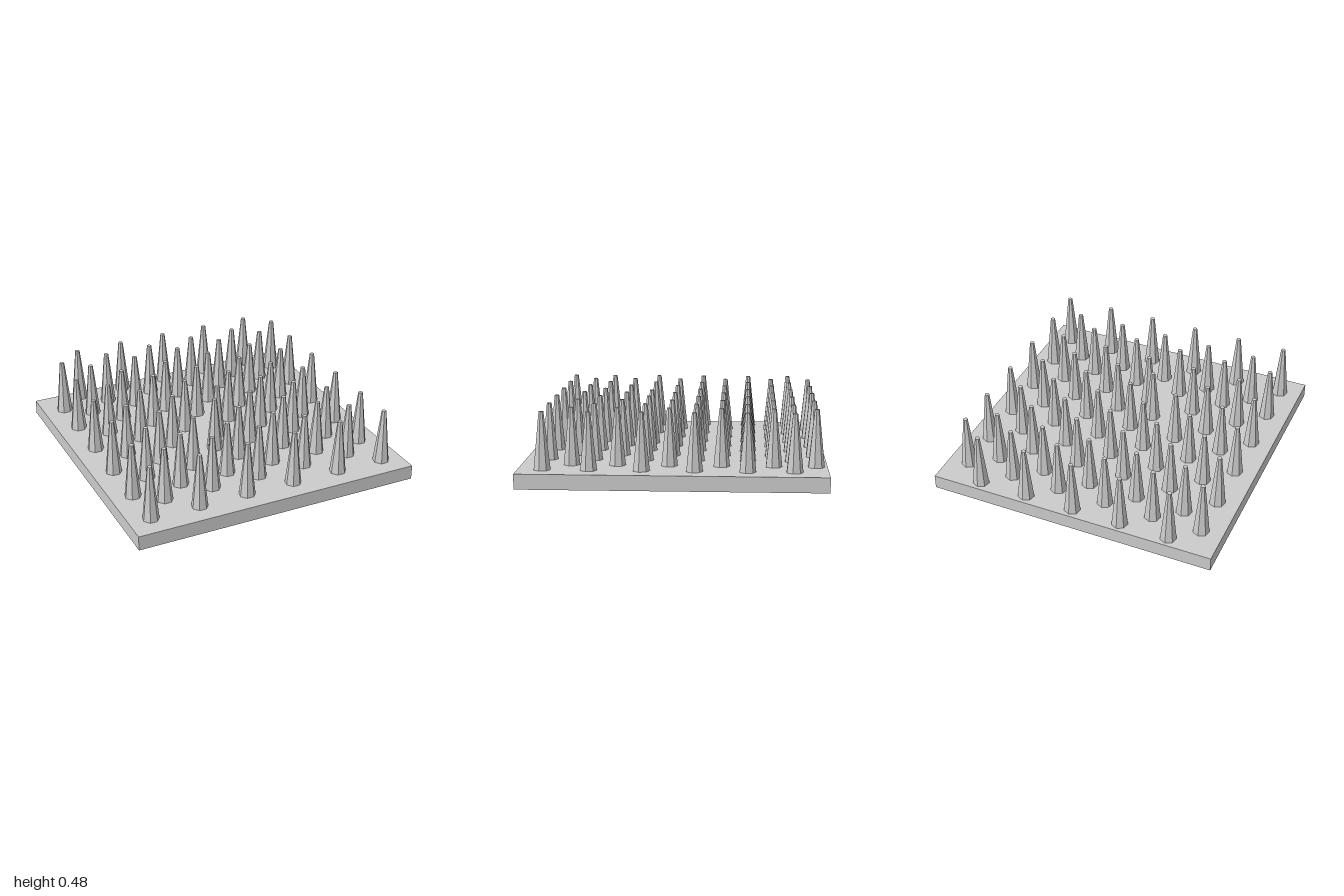
import * as THREE from 'three';

export function createModel() {
  const model = new THREE.Group();
  const material = new THREE.MeshStandardMaterial({ color: 0xcccccc, flatShading: true });

  // Square base slab
  const base = new THREE.Mesh(new THREE.BoxGeometry(2, 0.1, 2), material);
  base.name = 'base';
  base.position.y = 0.05;
  model.add(base);

  // Seven-sided blunt spike with one corner pointing to the back
  const spikeGeometry = new THREE.CylinderGeometry(0.016, 0.056, 0.38, 7);
  spikeGeometry.rotateY(Math.PI);

  // Staggered rows, alternating five and six spikes
  const rowZ = [-0.925, -0.78, -0.65, -0.48, -0.31, -0.14, 0.03, 0.2, 0.37, 0.54, 0.67, 0.84];
  const spacing = 0.34;
  const spikes = new THREE.Group();
  spikes.name = 'spikes';
  rowZ.forEach((z, row) => {
    const count = row % 2 ? 6 : 5;
    for (let i = 0; i < count; i++) {
      const spike = new THREE.Mesh(spikeGeometry, material);
      spike.name = 'spike';
      // One spike sits slightly out of line
      const shift = row === 7 && i === 2 ? 0.07 : 0;
      spike.position.set((i - (count - 1) / 2) * spacing + shift, 0.29, z);
      spikes.add(spike);
    }
  });
  model.add(spikes);

  return model;
}
